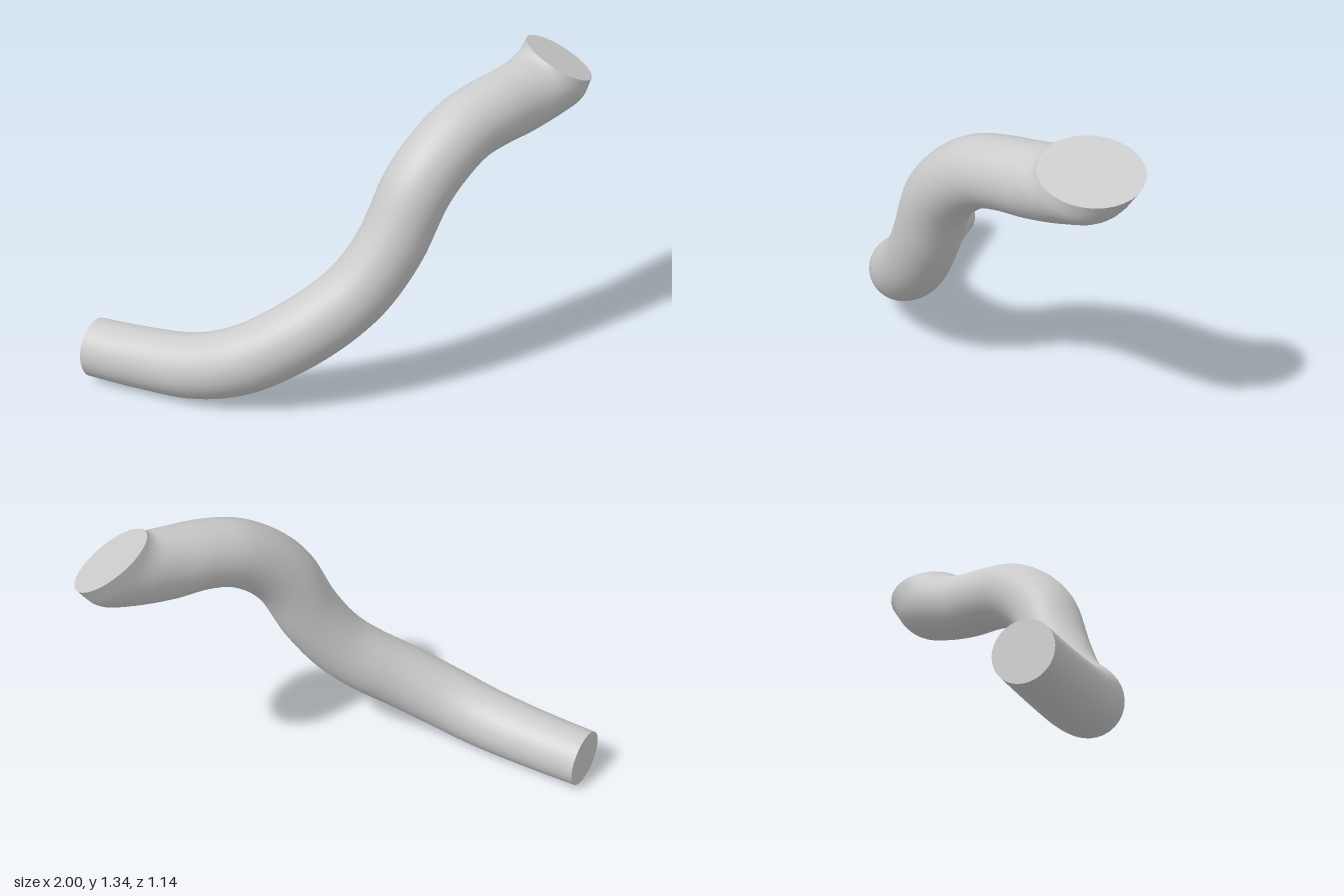
import * as THREE from 'three';

const SIDES = 32, STEPS = 90;
const V = (x, y, z) => new THREE.Vector3(x, y, z);

// centre line of the round pipe: x, y, z, radius
const PATH = [
  [-0.89, 0.13, -0.52, 0.123], [-0.79, 0.13, -0.31, 0.128], [-0.68, 0.145, -0.09, 0.135],
  [-0.57, 0.2, 0.07, 0.14], [-0.42, 0.3, 0.2, 0.142], [-0.28, 0.4, 0.28, 0.142],
  [-0.17, 0.505, 0.335, 0.14], [-0.06, 0.67, 0.38, 0.14], [0.045, 0.885, 0.408, 0.142],
  [0.15, 1.0, 0.418, 0.142], [0.28, 1.085, 0.42, 0.142], [0.42, 1.125, 0.42, 0.143],
  [0.58, 1.148, 0.41, 0.146],
];

// tilted rings where the pipe turns up to its slanted mouth: centre, top axis, side axis
const MOUTH = [
  [V(0.71, 1.178, 0.4), V(-0.08, 0.126, 0.005), V(-0.01, -0.01, 0.16)],
  [V(0.785, 1.21, 0.395), V(-0.135, 0.106, 0.02), V(-0.02, -0.03, 0.165)],
  [V(0.83, 1.265, 0.39), V(-0.17, 0.06, 0.03), V(-0.03, -0.05, 0.165)],
];

function controlRings() {
  const curve = new THREE.CatmullRomCurve3(PATH.map(([x, y, z]) => V(x, y, z)));
  const rings = PATH.map(([x, y, z, r], i) => {
    const t = curve.getTangent(i / (PATH.length - 1));
    const side = t.clone().cross(V(0, 1, 0)).normalize();
    const top = side.clone().cross(t);
    return [V(x, y, z), top.multiplyScalar(r), side.multiplyScalar(r)];
  });
  return rings.concat(MOUTH);
}

const ringPoint = ([c, top, side], a) =>
  c.clone().addScaledVector(top, Math.cos(a)).addScaledVector(side, Math.sin(a));

function meshFrom(name, positions, index, material) {
  const geometry = new THREE.BufferGeometry();
  geometry.setAttribute('position', new THREE.Float32BufferAttribute(positions, 3));
  geometry.setIndex(index);
  geometry.computeVertexNormals();
  const mesh = new THREE.Mesh(geometry, material);
  mesh.name = name;
  return mesh;
}

export function createModel() {
  const group = new THREE.Group();
  group.name = 'bentPipe';
  const material = new THREE.MeshStandardMaterial({ color: 0xcccccc });
  const rings = controlRings();

  // pipe wall: one smooth lengthwise curve per side, joined around the pipe
  const positions = [], index = [];
  for (let j = 0; j < SIDES; j++) {
    const a = (j / SIDES) * Math.PI * 2;
    const line = new THREE.CatmullRomCurve3(rings.map((r) => ringPoint(r, a)));
    for (let i = 0; i <= STEPS; i++) positions.push(...line.getPoint(i / STEPS).toArray());
  }
  const at = (i, j) => (j % SIDES) * (STEPS + 1) + i;
  for (let i = 0; i < STEPS; i++) {
    for (let j = 0; j < SIDES; j++) {
      index.push(at(i, j), at(i, j + 1), at(i + 1, j + 1), at(i, j), at(i + 1, j + 1), at(i + 1, j));
    }
  }
  group.add(meshFrom('pipeWall', positions, index, material));

  // flat end caps
  const addCap = (name, ring, outward) => {
    const pts = [...ring[0].toArray()], faces = [];
    for (let j = 0; j < SIDES; j++) {
      pts.push(...ringPoint(ring, (j / SIDES) * Math.PI * 2).toArray());
      const p = j + 1, q = ((j + 1) % SIDES) + 1;
      faces.push(0, outward ? p : q, outward ? q : p);
    }
    group.add(meshFrom(name, pts, faces, material));
  };
  addCap('lowerEndCap', rings[0], false);
  addCap('upperEndCap', rings[rings.length - 1], true);
  return group;
}
